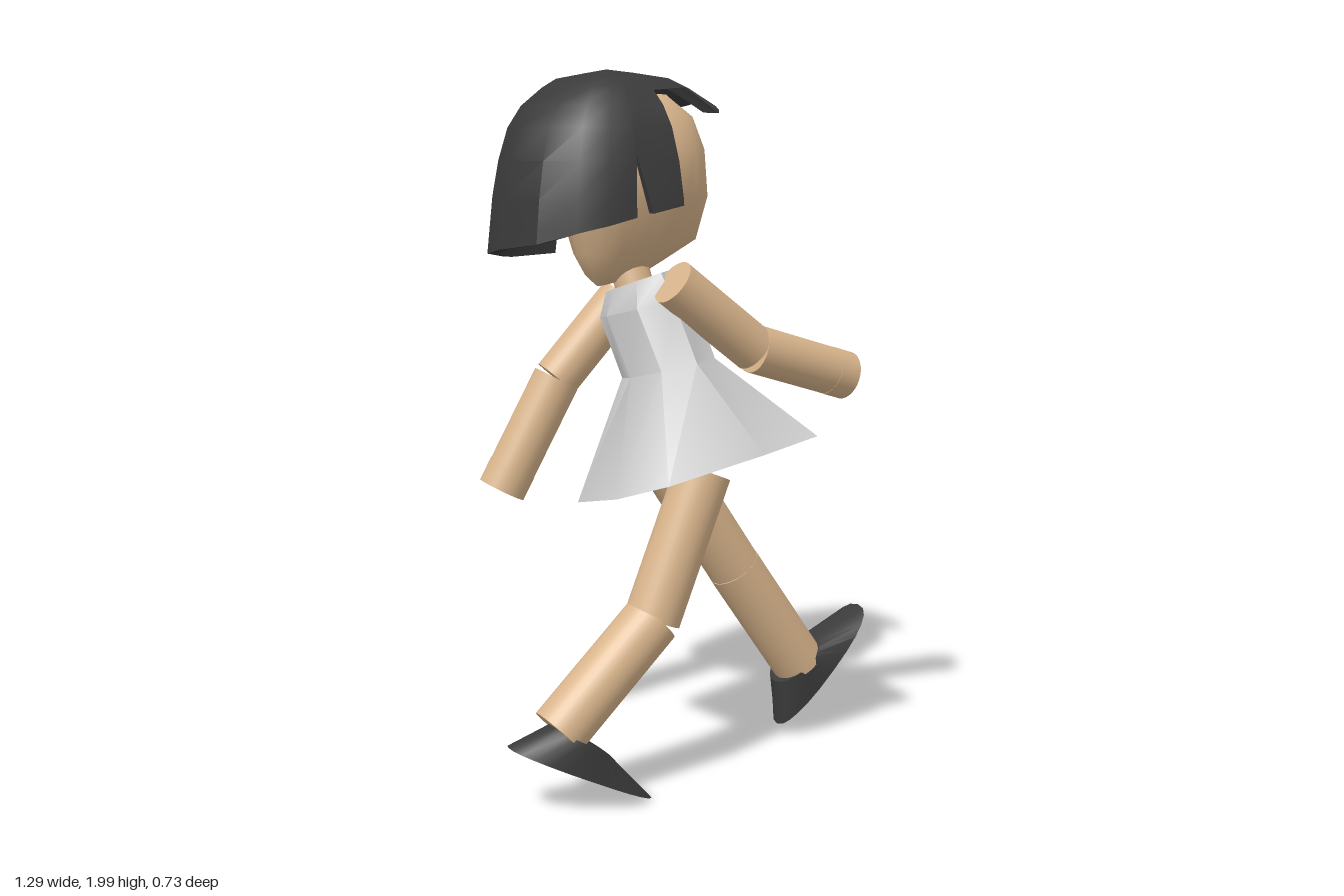
import * as THREE from 'three';
import { toCreasedNormals } from 'three/addons/utils/BufferGeometryUtils.js';

const V = (x, y, z) => new THREE.Vector3(x, y, z);
const TAU = Math.PI * 2;
const material = (color) => new THREE.MeshStandardMaterial({ color });
// Squares off a sine or cosine, for boxier outlines
const square = (t, power) => Math.sign(t) * Math.pow(Math.abs(t), power);

// Skin over stacked rings (bottom to top, turning from +x to +z), closed at both ends
function loft(rings, crease = 0.6) {
  const pos = [];
  const tri = (...pts) => pts.forEach((p) => pos.push(p.x, p.y, p.z));
  const n = rings[0].length;
  const middle = (r) => r.reduce((s, p) => s.add(p), V(0, 0, 0)).divideScalar(n);
  const first = rings[0], last = rings[rings.length - 1];
  const c0 = middle(first), c1 = middle(last);
  for (let i = 0; i < n; i++) {
    const k = (i + 1) % n;
    tri(c0, first[i], first[k]);
    tri(c1, last[k], last[i]);
    for (let j = 0; j < rings.length - 1; j++) {
      const a = rings[j], b = rings[j + 1];
      tri(a[i], b[i], a[k]);
      tri(a[k], b[i], b[k]);
    }
  }
  const g = new THREE.BufferGeometry();
  g.setAttribute('position', new THREE.Float32BufferAttribute(pos, 3));
  return toCreasedNormals(g, crease);
}

const ring = (n, f) => Array.from({ length: n }, (_, i) => f(Math.cos(i / n * TAU), Math.sin(i / n * TAU)));

// Piecewise linear lookup in [[key, value], ...] with falling keys
function lookup(table, key) {
  for (let i = 1; i < table.length; i++) {
    const [a, va] = table[i - 1], [b, vb] = table[i];
    if (key >= b) return va + (vb - va) * (a - key) / (a - b);
  }
  return table[table.length - 1][1];
}

export function createModel() {
  const model = new THREE.Group();
  const skin = material(0xd9b58c), dark = material(0x3a3a3a), cloth = material(0xcccccc);

  const add = (name, geometry, mat, parent = model) => {
    const mesh = new THREE.Mesh(geometry, mat);
    mesh.name = name;
    parent.add(mesh);
    return mesh;
  };
  const rod = (name, a, b, r, parent = model) => {
    const d = b.clone().sub(a);
    const mesh = add(name, new THREE.CylinderGeometry(r, r, d.length(), 32), skin, parent);
    mesh.position.copy(a).add(b).multiplyScalar(0.5);
    mesh.quaternion.setFromUnitVectors(V(0, 1, 0), d.normalize());
  };

  // Arms: upper arm, forearm and a short hand stub
  const arm = (name, shoulder, elbow, tip) => {
    const group = new THREE.Group();
    group.name = name;
    model.add(group);
    const wrist = elbow.clone().lerp(tip, 0.8);
    rod('upperArm', shoulder, elbow, 0.067, group);
    rod('forearm', elbow, wrist, 0.069, group);
    rod('hand', wrist, tip, 0.07, group);
  };
  arm('forwardArm', V(-0.125, 1.423, 0.162), V(0.14, 1.225, 0.155), V(0.467, 1.127, 0.133));
  arm('rearwardArm', V(-0.08, 1.355, -0.222), V(-0.275, 1.12, -0.265), V(-0.44, 0.8, -0.297));

  // Legs in mid stride
  const leg = (name, hip, knee, ankle) => {
    const group = new THREE.Group();
    group.name = name;
    model.add(group);
    rod('thigh', hip, knee, 0.079, group);
    rod('shin', knee, ankle, 0.08, group);
  };
  leg('forwardLeg', V(-0.05, 0.9, -0.025), V(0.185, 0.555, -0.025), V(0.42, 0.224, -0.027));
  leg('rearwardLeg', V(-0.05, 0.9, 0.2), V(-0.212, 0.5, 0.2), V(-0.5, 0.222, 0.197));

  // Wedge shoes: blunt flat sole, toe along local +x, smaller sloping upper
  const shoeGeometry = loft([
    ring(24, (c, s) => V(0.225 + 0.225 * square(c, 0.85), 0, 0.098 * square(s, 0.8) * (0.87 + 0.13 * c))),
    ring(24, (c, s) => V(0.19 + 0.095 * c, 0.084 - 0.014 * c, 0.08 * s)),
  ]);
  const shoe = (name, heel, yaw, pitch) => {
    const mesh = add(name, shoeGeometry, dark);
    mesh.position.copy(heel);
    mesh.rotation.set(0, yaw, pitch);
  };
  shoe('forwardShoe', V(0.345, 0.04, -0.028), 0.02, 0.84);
  shoe('rearwardShoe', V(-0.645, 0.2, 0.19), -0.1, -0.443);

  // Dress: faceted bodice flaring to a tilted hem
  const hem = [[0.285, 0.08], [0.225, 0.355], [0.05, 0.36], [-0.22, 0.31],
    [-0.31, 0.18], [-0.3, -0.08], [-0.05, -0.17], [0.25, -0.165]];
  const hemRing = hem.map(([x, z]) => V(x, 0.87 + 0.22 * x + 0.22 * z, z));
  const bodice = [[1.17, -0.07, 0.035, 0.12, 0.165], [1.34, -0.115, -0.01, 0.125, 0.16], [1.415, -0.13, -0.025, 0.08, 0.13]]
    .map(([y, x, z, rx, rz]) => ring(8, (c, s) => V(x + rx * c, y + 0.02 * c + 0.03 * s, z + rz * s)));
  add('dress', loft([hemRing, ...bodice], 0.7), cloth);

  rod('neck', V(-0.13, 1.38, -0.04), V(-0.15, 1.52, -0.085), 0.055);

  // The skull leans slightly sideways towards the crown
  const centreZ = (y) => -0.086 - 0.08 * Math.max(0, y - 1.7);

  // Head: narrow chin, broad brow; rows are y, back x, front x, half width
  const head = [[1.42, -0.23, -0.08, 0.04], [1.45, -0.26, -0.03, 0.075], [1.51, -0.29, 0.07, 0.125],
    [1.65, -0.33, 0.083, 0.215], [1.78, -0.36, 0.072, 0.232], [1.87, -0.34, 0.045, 0.2], [1.93, -0.26, -0.03, 0.15]]
    .map(([y, x0, x1, w]) => ring(24, (c, s) => V((x0 + x1) / 2 + (x1 - x0) / 2 * square(c, 0.85),
      y + (y < 1.6 ? 0.02 * c : 0), centreZ(y) + w * square(s, 0.85))));
  add('head', loft(head, 0.95), skin);

  // Hair: thick dome shell; columns end at a jagged edge of fringe, side locks and bob
  const dome = [[2, 0], [1.975, 0.38], [1.95, 0.5], [1.9, 0.68], [1.84, 0.8], [1.75, 0.89], [1.65, 0.95], [1.46, 1.01]];
  const edge = [[0, 1.91], [22, 1.89], [42, 1.88], [46, 1.95], [84.5, 1.94], [85, 1.63], [90.5, 1.61], [95, 1.77],
    [96, 1.6], [108, 1.58], [125, 1.56], [150, 1.53], [180, 1.51], [210, 1.49], [235, 1.475], [264, 1.48],
    [266, 1.7], [270, 1.56], [274, 1.56], [274.5, 1.92], [295, 1.91], [318, 1.88], [340, 1.9]];
  const shell = (level, gap) => edge.map(([deg, low]) => {
    const a = deg * Math.PI / 180, cos = Math.cos(a), power = cos > 0 ? 0.65 : 0.77;
    const c = square(cos, power), s = square(Math.sin(a), power);
    const y = Math.max(level, low), f = lookup(dome, y);
    const rx = (c > 0 ? 0.44 : 0.345) * f, rz = 0.275 * Math.pow(f, 0.7);
    return V(-0.185 + Math.max(rx - gap, 0) * c, Math.max(level - gap * 0.7, low), centreZ(y) + Math.max(rz - gap, 0) * s);
  });
  const levels = [1.99, 1.975, 1.95, 1.9, 1.84, 1.75, 1.65, 1.57, 1.46];
  const inner = levels.map((y) => shell(y, 0.026));
  const outer = [...levels].reverse().map((y) => shell(y, 0));
  add('hair', loft([...inner, ...outer, shell(2, 0)], 0.6), dark);

  return model;
}
